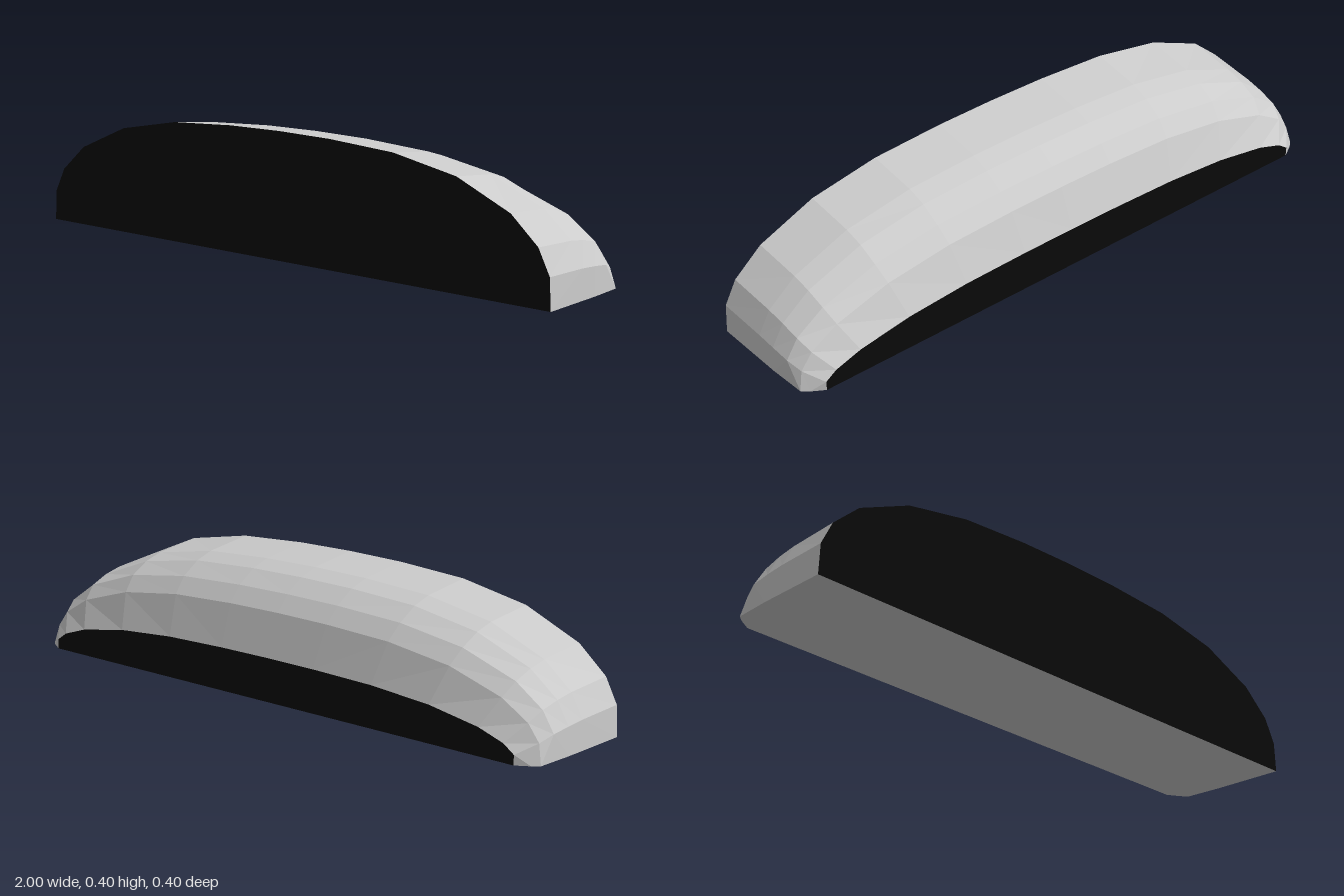
import * as THREE from 'three';

// Half of the front outline, from the bottom corner up to the crown
const OUTLINE = [[1, 0], [0.995, 0.097], [0.955, 0.175], [0.86, 0.258], [0.67, 0.34], [0.44, 0.383], [0.2, 0.397], [0, 0.4]];

// Stations from front to back: depth, width scale, height scale at foot and crown, depth of the foot corner
const STATIONS = [
  { z: 0.2, w: 1, low: 1, high: 1, footZ: 0.2, footX: 1 },
  { z: 0.03, w: 0.993, low: 0.95, high: 0.95, footZ: 0.03, footX: 0.992 },
  { z: -0.035, w: 0.99, low: 0.9, high: 0.9, footZ: -0.035, footX: 0.989 },
  { z: -0.1, w: 0.985, low: 0.83, high: 0.798, footZ: -0.157, footX: 0.978 },
  { z: -0.147, w: 0.968, low: 0.62, high: 0.675, footZ: -0.175, footX: 0.957 },
  { z: -0.2, w: 0.92, low: 0.31, high: 0.35, footZ: -0.2, footX: 0.915 },
];

// One full arch, running from the left foot over the crown to the right foot
function arch(s) {
  const half = OUTLINE.map(([x, y], i) => {
    if (i === 0) return new THREE.Vector3(s.footX, 0, s.footZ);
    const k = THREE.MathUtils.lerp(s.low, s.high, y / 0.4);
    return new THREE.Vector3(x * s.w, y * k, s.z);
  });
  const mirrored = half.slice(0, -1).reverse().map((p) => new THREE.Vector3(-p.x, p.y, p.z));
  return [...half, ...mirrored];
}

function meshFrom(name, points, color) {
  const geometry = new THREE.BufferGeometry().setFromPoints(points);
  geometry.computeVertexNormals();
  const mesh = new THREE.Mesh(geometry, new THREE.MeshStandardMaterial({ color, flatShading: true }));
  mesh.name = name;
  return mesh;
}

const quad = (a, b, c, d) => [a, b, c, a, c, d];

// Flat end panel as a fan around the middle of its bottom edge
function panel(ring, back) {
  const centre = new THREE.Vector3(0, 0, ring[0].z);
  const tris = [];
  for (let i = 0; i < ring.length - 1; i++) {
    tris.push(centre, ring[back ? i + 1 : i], ring[back ? i : i + 1]);
  }
  return tris;
}

export function createModel() {
  const group = new THREE.Group();
  group.name = 'domedHousing';
  const rings = STATIONS.map(arch);
  const last = OUTLINE.length * 2 - 2;
  const shell = [];
  const base = [];

  for (let j = 0; j < rings.length - 1; j++) {
    const a = rings[j];
    const b = rings[j + 1];
    for (let i = 0; i < last; i++) {
      // Mirror the diagonal so both halves match
      if (i < last / 2) shell.push(...quad(a[i], b[i], b[i + 1], a[i + 1]));
      else shell.push(...quad(a[i + 1], a[i], b[i], b[i + 1]));
    }
    base.push(...quad(a[0], a[last], b[last], b[0]));
  }

  group.add(
    meshFrom('shell', shell, 0xcccccc),
    meshFrom('base', base, 0xcccccc),
    meshFrom('frontPanel', panel(rings[0], false), 0x0a0a0a),
    meshFrom('backPanel', panel(rings[rings.length - 1], true), 0x0a0a0a),
  );
  return group;
}
